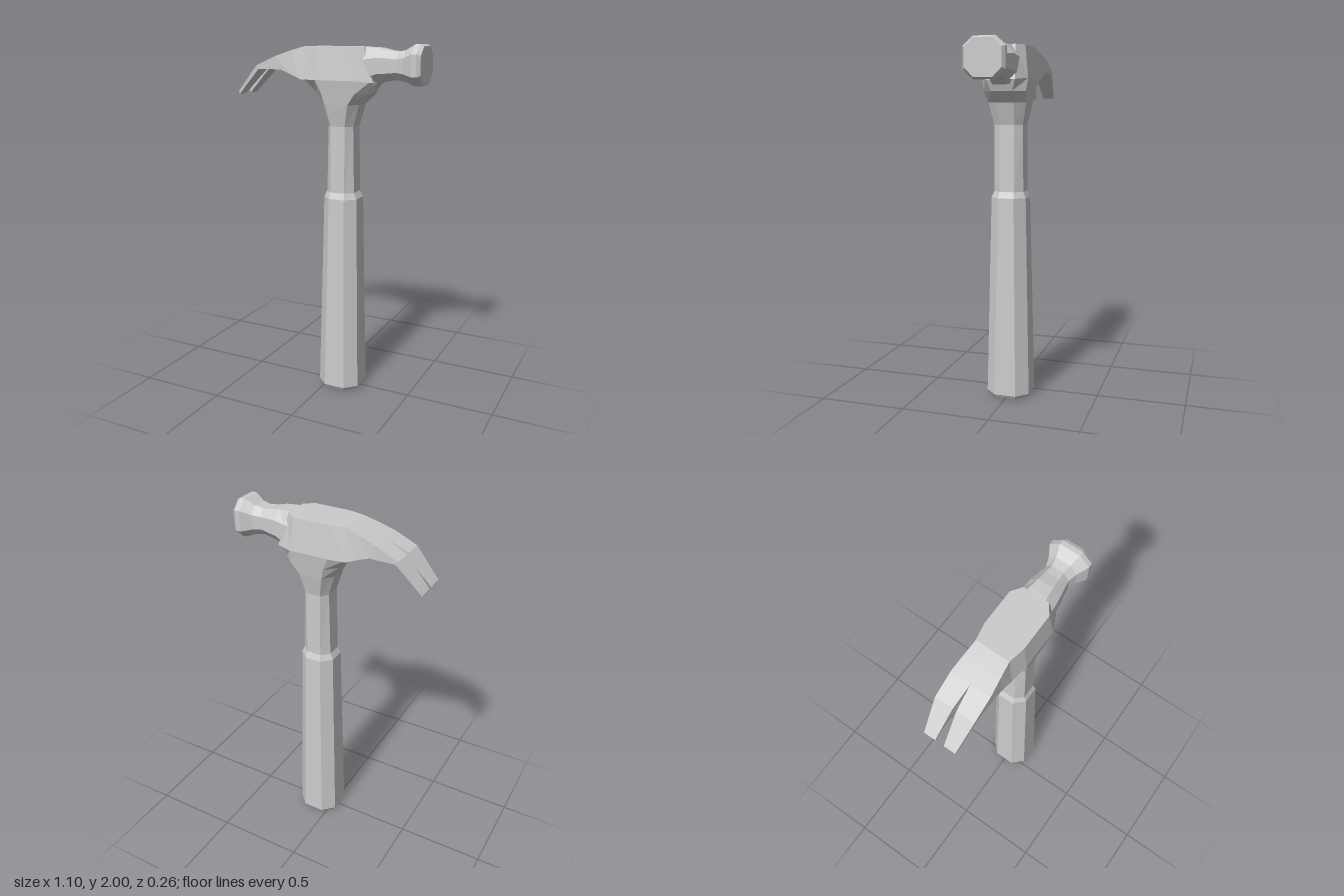
import * as THREE from 'three';

const steel = new THREE.MeshStandardMaterial({ color: 0xcccccc, flatShading: true });

// Skin a list of equal-length rings (counter-clockwise seen from the far end) and cap both ends
function loft(name, rings) {
  const pos = [];
  const tri = (...pts) => pts.forEach(p => pos.push(...p));
  const n = rings[0].length;
  const centre = r => [0, 1, 2].map(k => r.reduce((s, p) => s + p[k], 0) / n);
  const first = rings[0], last = rings[rings.length - 1];
  const c0 = centre(first), c1 = centre(last);
  for (let j = 0; j < n; j++) {
    const k = (j + 1) % n;
    for (let i = 0; i < rings.length - 1; i++) {
      const a = rings[i][j], b = rings[i][k], c = rings[i + 1][k], d = rings[i + 1][j];
      tri(a, b, c);
      tri(a, c, d);
    }
    tri(c0, first[k], first[j]);
    tri(c1, last[j], last[k]);
  }
  const geo = new THREE.BufferGeometry();
  geo.setAttribute('position', new THREE.Float32BufferAttribute(pos, 3));
  geo.computeVertexNormals();
  const mesh = new THREE.Mesh(geo, steel);
  mesh.name = name;
  return mesh;
}

// Octagon of half sizes a, b whose flats have half lengths fa, fb
const octagon = (a, b, fa, fb) => [
  [a, fb], [fa, b], [-fa, b], [-a, fb], [-a, -fb], [-fa, -b], [fa, -b], [a, -fb],
];

// Horizontal octagon for the handle
const levelRing = (y, cx, hx, hz, fx, fz) =>
  octagon(hz, hx, fz, fx).map(([z, x]) => [cx + x, y, z]);

// Upright octagon for the striker
const uprightRing = (x, top, bottom, hz, f) =>
  octagon((top - bottom) / 2, hz, f, f).map(([y, z]) => [x, (top + bottom) / 2 + y, z]);

// Four-cornered section of the head, with separate top and bottom corners
const headRing = (xt, yt, wt, xb, yb, wb) =>
  [[xt, yt, wt], [xb, yb, wb], [xb, yb, -wb], [xt, yt, -wt]];

export function createModel() {
  const hammer = new THREE.Group();
  hammer.name = 'hammer';

  // Grip and shaft
  hammer.add(loft('grip', [
    levelRing(0, 0.08, 0.113, 0.113, 0.056, 0.056),
    levelRing(0.02, 0.08, 0.125, 0.125, 0.062, 0.062),
    levelRing(1.155, 0.08, 0.1, 0.1, 0.046, 0.046),
    levelRing(1.19, 0.08, 0.083, 0.085, 0.042, 0.042),
  ]));
  hammer.add(loft('shaft', [
    levelRing(1.18, 0.08, 0.083, 0.085, 0.042, 0.042),
    levelRing(1.56, 0.08, 0.075, 0.083, 0.042, 0.042),
  ]));

  // Flared socket between shaft and head
  hammer.add(loft('socket', [
    levelRing(1.56, 0.08, 0.075, 0.083, 0.042, 0.042),
    levelRing(1.68, 0.08, 0.11, 0.108, 0.068, 0.05),
    levelRing(1.74, 0.095, 0.155, 0.118, 0.098, 0.06),
    levelRing(1.81, 0.075, 0.2, 0.13, 0.11, 0.085),
  ]));

  // Head block, from the root of the claw to the striker
  hammer.add(loft('headBlock', [
    headRing(-0.29, 1.932, 0.11, -0.26, 1.86, 0.11),
    headRing(-0.2, 1.962, 0.101, -0.19, 1.835, 0.112),
    headRing(-0.12, 1.985, 0.092, -0.13, 1.81, 0.115),
    headRing(-0.03, 1.985, 0.11, -0.03, 1.81, 0.13),
    headRing(0.17, 1.985, 0.11, 0.19, 1.81, 0.13),
    headRing(0.225, 1.985, 0.07, 0.285, 1.8, 0.085),
  ]));

  // Two claw prongs either side of the tapering slit
  const prongSections = [
    // top x, top y, bottom x, bottom y, inner z, outer z
    [-0.55, 1.73, -0.542, 1.715, 0.025, 0.09],
    [-0.415, 1.878, -0.4, 1.86, 0.01, 0.11],
    [-0.29, 1.932, -0.26, 1.86, 0, 0.11],
  ];
  for (const side of [1, -1]) {
    hammer.add(loft(side > 0 ? 'frontProng' : 'backProng',
      prongSections.map(([xt, yt, xb, yb, inner, outer]) => {
        const hi = side > 0 ? outer : -inner, lo = side > 0 ? inner : -outer;
        return [[xt, yt, hi], [xb, yb, hi], [xb, yb, lo], [xt, yt, lo]];
      })));
  }

  // Striker: waisted neck ending in a bevelled face
  hammer.add(loft('striker', [
    uprightRing(0.18, 1.98, 1.75, 0.09, 0.05),
    uprightRing(0.24, 1.983, 1.76, 0.09, 0.05),
    uprightRing(0.3, 1.98, 1.798, 0.085, 0.042),
    uprightRing(0.36, 1.966, 1.812, 0.074, 0.038),
    uprightRing(0.405, 1.962, 1.816, 0.066, 0.034),
    uprightRing(0.45, 1.97, 1.81, 0.08, 0.04),
    uprightRing(0.505, 2, 1.79, 0.112, 0.057),
    uprightRing(0.53, 2, 1.788, 0.112, 0.057),
    uprightRing(0.55, 1.99, 1.798, 0.097, 0.05),
  ]));

  return hammer;
}
